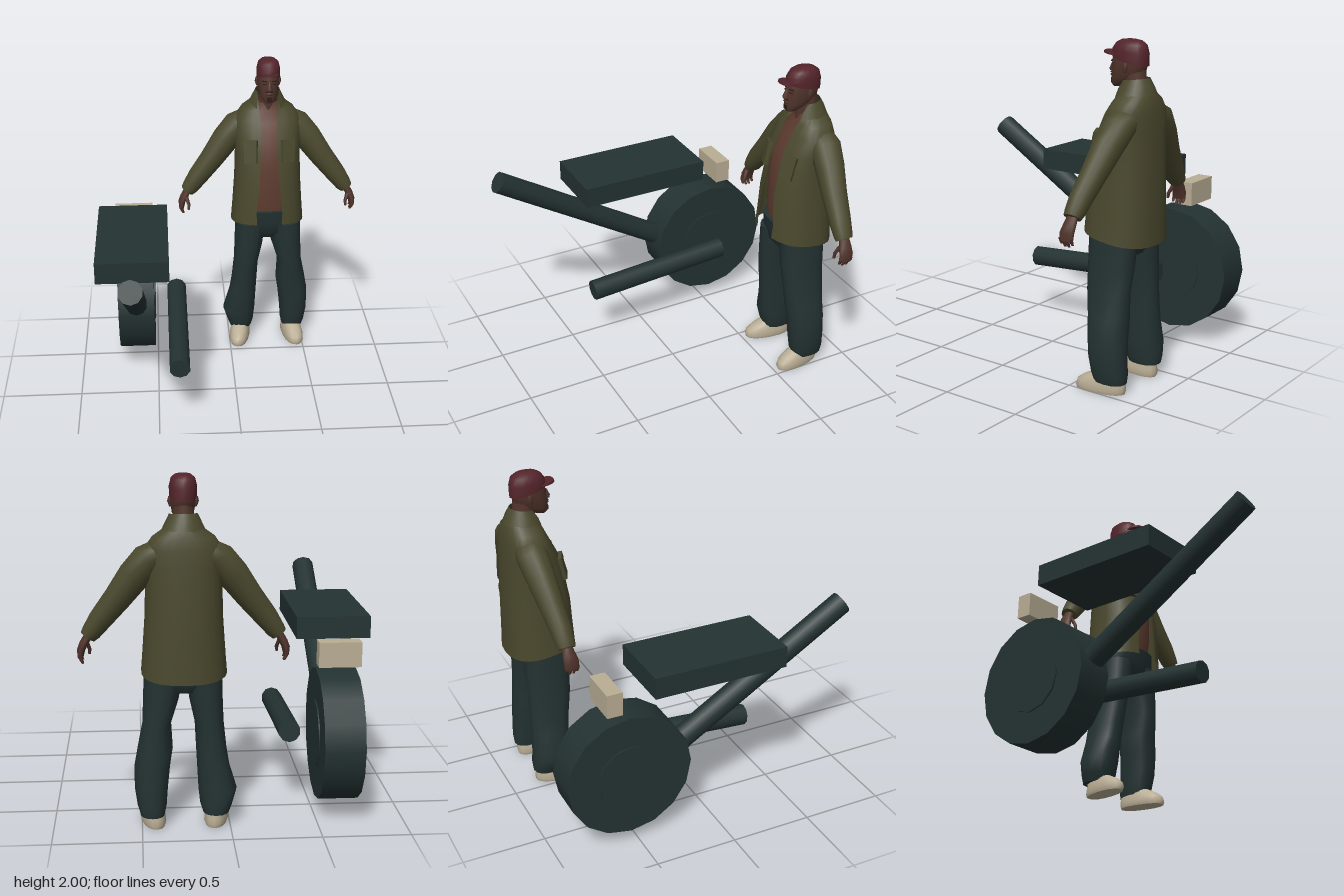
import * as THREE from 'three';

const mat = (name, color, side = THREE.FrontSide) => {
  const m = new THREE.MeshStandardMaterial({ color, side });
  m.name = name;
  return m;
};

// Closed or front-open loft. Rings run bottom to top:
// [y, cx, cz, rx, rz, tilt along x, tilt along z, half width of the front gap]
function loft(rings, n = 14, p = 2) {
  const pos = [], idx = [];
  const open = rings[0][7] > 0;
  const cols = open ? n + 1 : n;
  const pw = (v) => Math.sign(v) * Math.pow(Math.abs(v), 2 / p);
  for (const [y, cx, cz, rx, rz, tx = 0, tz = 0, gap = 0] of rings) {
    const t0 = open ? Math.asin(Math.pow(gap / rx, p / 2)) : 0;
    for (let i = 0; i < cols; i++) {
      const t = t0 + (2 * Math.PI - 2 * t0) * i / n;
      const x = rx * pw(Math.sin(t)), z = rz * pw(Math.cos(t));
      pos.push(cx + x, y + tx * x + tz * z, cz + z);
    }
  }
  for (let r = 0; r < rings.length - 1; r++) {
    for (let i = 0; i < n; i++) {
      const a = r * cols + i, b = r * cols + (i + 1) % cols;
      idx.push(a, b, b + cols, a, b + cols, a + cols);
    }
  }
  if (!open) {
    for (const r of [0, rings.length - 1]) {
      const base = pos.length / 3, [y, cx, cz] = rings[r];
      for (let i = 0; i < n; i++) pos.push(...pos.slice((r * n + i) * 3, (r * n + i) * 3 + 3));
      pos.push(cx, y, cz);
      for (let i = 0; i < n; i++) {
        const a = base + i, b = base + (i + 1) % n;
        if (r) idx.push(a, b, base + n); else idx.push(b, a, base + n);
      }
    }
  }
  const g = new THREE.BufferGeometry();
  g.setAttribute('position', new THREE.Float32BufferAttribute(pos, 3));
  g.setIndex(idx);
  g.computeVertexNormals();
  return g;
}

export function createModel() {
  const root = new THREE.Group();
  const teal = mat('dark teal', 0x243232);
  const olive = mat('olive cloth', 0x4a482d, THREE.DoubleSide);
  const skin = mat('skin', 0x5f3d31);
  const face = mat('face skin', 0x50342b);
  const hair = mat('dark hair', 0x2b1d19);
  const red = mat('dark red cap', 0x53242a);
  const cream = mat('cream', 0xb9ad94);

  const add = (name, geo, material, parent = root) => {
    const m = new THREE.Mesh(geo, material);
    m.name = name;
    parent.add(m);
    return m;
  };
  const box = (name, m, w, h, d, x, y, z, parent) => {
    const b = add(name, new THREE.BoxGeometry(w, h, d), m, parent);
    b.position.set(x, y, z);
    return b;
  };
  const rod = (name, a, b, r, sides, m) => {
    const A = new THREE.Vector3(...a), B = new THREE.Vector3(...b);
    const c = add(name, new THREE.CylinderGeometry(r, r, A.distanceTo(B), sides), m);
    c.position.copy(A).lerp(B, 0.5);
    c.quaternion.setFromUnitVectors(new THREE.Vector3(0, 1, 0), B.sub(A).normalize());
    return c;
  };

  // Loose vehicle parts
  rod('wheel', [-0.747, 0.465, -0.55], [-0.515, 0.465, -0.55], 0.385, 16, teal);
  rod('wheelHub', [-0.756, 0.465, -0.55], [-0.508, 0.465, -0.55], 0.2, 12, teal);
  rod('forkTube', [-0.63, 1.206, 0.894], [-0.63, 0.545, -0.18], 0.07, 10, teal);
  rod('exhaustPipe', [-0.365, 0.407, 0.395], [-0.365, 0.473, -0.548], 0.065, 10, teal);
  box('bodyBlock', teal, 0.435, 0.13, 0.83, -0.632, 1.065, -0.025);
  box('lightBlock', cream, 0.245, 0.145, 0.095, -0.632, 0.963, -0.642);

  // Standing figure
  const man = new THREE.Group();
  man.name = 'figure';
  man.position.x = 0.255;
  root.add(man);
  const part = (name, rings, m, n, p) => add(name, loft(rings, n, p), m, man);

  // Open jacket: [y, front z, back z, half width, half gap, hem tilt]
  const jacket = [
    [0.9, -0.5, -0.925, 0.24, 0.08, 0.16], [1.0, -0.505, -0.922, 0.232, 0.085, 0.05],
    [1.2, -0.517, -0.92, 0.218, 0.065, 0], [1.4, -0.555, -0.912, 0.212, 0.055, 0],
    [1.5, -0.585, -0.907, 0.215, 0.052, 0], [1.6, -0.635, -0.9, 0.215, 0.052, 0],
    [1.665, -0.665, -0.89, 0.17, 0.06, 0], [1.715, -0.685, -0.872, 0.1, 0.062, 0],
    [1.78, -0.695, -0.84, 0.078, 0.068, 0],
  ].map(([y, f, b, rx, g, t]) => [y, 0, (f + b) / 2, rx, (f - b) / 2, 0, t, g]);
  part('jacketBody', jacket, olive, 24, 2.4);
  part('jacketCollar', [
    [1.69, 0, -0.77, 0.125, 0.115, 0, -0.1, 0.075],
    [1.74, 0, -0.767, 0.1, 0.1, 0, -0.1, 0.07],
    [1.785, 0, -0.766, 0.079, 0.076, 0, -0.1, 0.068],
  ], olive, 18);

  // Bare chest and neck
  part('chest', [
    [0.95, 0, -0.72, 0.17, 0.14], [1.1, 0, -0.72, 0.18, 0.155], [1.3, 0, -0.725, 0.185, 0.155],
    [1.45, 0, -0.735, 0.19, 0.14], [1.58, 0, -0.76, 0.18, 0.105], [1.66, 0, -0.775, 0.11, 0.085],
    [1.71, 0, -0.765, 0.065, 0.07],
  ], skin, 18, 2.4);
  part('neck', [[1.67, 0, -0.765, 0.068, 0.075], [1.75, 0, -0.76, 0.058, 0.068],
    [1.84, 0, -0.75, 0.058, 0.072]], face);

  // Head and face
  part('head', [
    [1.737, 0, -0.66, 0.028, 0.035, 0, -0.1], [1.755, 0, -0.675, 0.046, 0.06, 0, -0.15],
    [1.785, 0, -0.702, 0.06, 0.09, 0, -0.1], [1.825, 0, -0.717, 0.067, 0.103],
    [1.87, 0, -0.725, 0.072, 0.105], [1.93, 0, -0.73, 0.07, 0.102], [1.96, 0, -0.73, 0.055, 0.08],
  ], face, 16, 2.2);
  part('nose', [[1.82, 0, -0.615, 0.019, 0.02], [1.832, 0, -0.613, 0.018, 0.022],
    [1.875, 0, -0.622, 0.008, 0.01]], face, 8);
  part('lips', [[1.787, 0, -0.622, 0.02, 0.012], [1.797, 0, -0.62, 0.026, 0.016],
    [1.808, 0, -0.622, 0.02, 0.012]], face, 8);
  box('moustache', hair, 0.048, 0.007, 0.008, 0, 1.812, -0.615, man);
  box('goatee', hair, 0.03, 0.028, 0.008, 0, 1.763, -0.614, man);
  for (const s of [-1, 1]) {
    const brow = box('eyebrow', hair, 0.034, 0.007, 0.008, s * 0.031, 1.878, -0.63, man);
    const eye = box('eye', hair, 0.022, 0.008, 0.006, s * 0.029, 1.858, -0.629, man);
    brow.rotation.y = eye.rotation.y = s * 0.3;
    part('ear', [[1.82, s * 0.067, -0.735, 0.008, 0.012], [1.85, s * 0.074, -0.738, 0.012, 0.02],
      [1.875, s * 0.072, -0.738, 0.008, 0.014]], face, 8);
  }

  // Cap with a short brim
  part('capCrown', [
    [1.88, 0, -0.728, 0.076, 0.109, 0, 0.24], [1.935, 0, -0.73, 0.076, 0.108, 0, 0.12],
    [1.975, 0, -0.735, 0.066, 0.09, 0, 0.06], [1.993, 0, -0.735, 0.046, 0.062, 0, 0.04],
    [2.0, 0, -0.735, 0.015, 0.025],
  ], red, 16, 2.2);
  part('capBrim', [[1.91, 0, -0.635, 0.06, 0.07, 0, 0.15], [1.922, 0, -0.635, 0.058, 0.068, 0, 0.15]],
    red, 14, 2.4);

  for (const s of [-1, 1]) {
    // Sleeves with rings square to the arm, and chest pockets
    part('sleeve', [
      [1.105, 0.53, -0.725, 0.046, 0.052], [1.13, 0.51, -0.727, 0.055, 0.058],
      [1.2, 0.46, -0.733, 0.066, 0.066], [1.32, 0.365, -0.75, 0.077, 0.075],
      [1.45, 0.27, -0.77, 0.09, 0.088], [1.55, 0.185, -0.785, 0.092, 0.095],
      [1.59, 0.12, -0.785, 0.08, 0.085],
    ].map(([y, x, z, r, rz]) => [y, s * x, z, r * 0.81, rz, s * 0.72]), olive);
    const pocket = new THREE.Group();
    pocket.name = 'chestPocket';
    pocket.position.set(s * 0.12, 1.42, -0.578);
    pocket.rotation.set(-0.25, s * 0.42, 0);
    man.add(pocket);
    box('pocketBag', olive, 0.085, 0.14, 0.025, 0, 0, 0, pocket);
    box('pocketFlap', olive, 0.09, 0.045, 0.032, 0, 0.055, 0, pocket);

    // Hands
    part('palm', [[0.985, 0.572, -0.715, 0.016, 0.045], [1.03, 0.568, -0.718, 0.024, 0.047],
      [1.07, 0.55, -0.722, 0.028, 0.04], [1.115, 0.525, -0.725, 0.027, 0.032]]
      .map(([y, x, ...r]) => [y, s * x, ...r]), face, 10);
    for (let f = 0; f < 4; f++) {
      const z = -0.749 + f * 0.023, tip = 0.945 + 0.012 * Math.abs(f - 1.5);
      part('finger', [[tip, s * 0.56, z, 0.007, 0.008], [tip + 0.02, s * 0.57, z, 0.01, 0.011],
        [1.0, s * 0.574, z, 0.012, 0.012]], face, 6);
    }
    part('thumb', [[0.99, s * 0.525, -0.665, 0.007, 0.008], [1.02, s * 0.523, -0.67, 0.011, 0.012],
      [1.07, s * 0.54, -0.695, 0.014, 0.016]], face, 7);

    // Shoes, toes turned out
    const shoe = add('shoe', loft([
      [0, 0, 0, 0.062, 0.15], [0.02, 0, 0, 0.069, 0.156], [0.05, 0, -0.003, 0.066, 0.15],
      [0.08, 0, -0.02, 0.06, 0.128], [0.11, 0, -0.05, 0.05, 0.095], [0.14, 0, -0.075, 0.042, 0.06],
    ], 16, 2.3), cream, man);
    shoe.position.set(s * 0.183, 0, -0.68);
    shoe.rotation.y = s * 0.16;
  }

  // Baggy trousers: [y, left edge, right edge, front z, back z] for each leg
  const leg = (name, rows) => part(name, rows.map(([y, a, b, f, k]) =>
    [y, (a + b) / 2 - 0.255, (f + k) / 2, (b - a) / 2, (f - k) / 2]), teal, 16, 2.3);
  part('trouserSeat', [[0.79, 0, -0.715, 0.1, 0.09], [0.84, 0, -0.71, 0.205, 0.13],
    [0.92, 0, -0.708, 0.212, 0.143], [1.0, 0, -0.71, 0.2, 0.158]], teal, 20, 2.5);
  leg('leftLeg', [
    [0.07, 0.37, 0.51, -0.645, -0.845], [0.12, 0.36, 0.525, -0.63, -0.85], [0.22, 0.352, 0.54, -0.615, -0.845],
    [0.35, 0.338, 0.54, -0.605, -0.842], [0.45, 0.322, 0.522, -0.595, -0.84], [0.6, 0.33, 0.492, -0.575, -0.84],
    [0.74, 0.285, 0.486, -0.568, -0.845], [0.9, 0.262, 0.48, -0.565, -0.85],
  ]);
  leg('rightLeg', [
    [0.08, 0.005, 0.155, -0.645, -0.845], [0.13, -0.015, 0.17, -0.63, -0.85], [0.21, -0.04, 0.178, -0.615, -0.845],
    [0.35, 0.002, 0.185, -0.605, -0.842], [0.45, 0.018, 0.19, -0.595, -0.84], [0.6, 0.033, 0.197, -0.575, -0.84],
    [0.74, 0.038, 0.227, -0.568, -0.845], [0.9, 0.042, 0.248, -0.565, -0.85],
  ]);
  return root;
}
